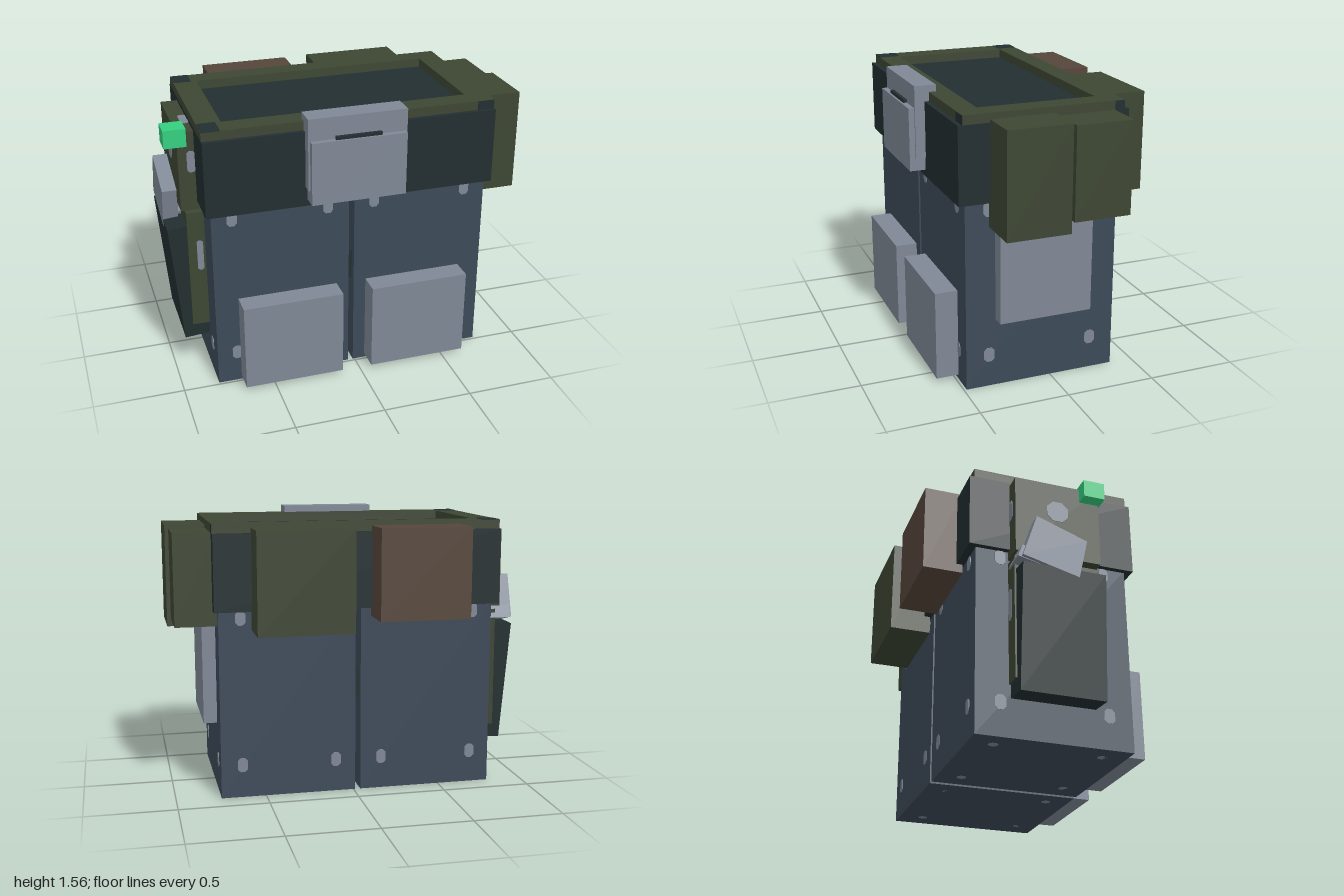
import * as THREE from 'three';

const material = (name, color) => {
  const m = new THREE.MeshStandardMaterial({ color });
  m.name = name;
  return m;
};

export function createModel() {
  const model = new THREE.Group();
  model.name = 'beltedLegs';

  const slate = material('slateBlue', 0x3d4a59);
  const grey = material('armourGrey', 0x7f8896);
  const olive = material('olive', 0x3d4633);
  const dark = material('darkTeal', 0x222e30);
  const brown = material('leatherBrown', 0x56463b);
  const green = material('signalGreen', 0x34cf7e);

  const add = (name, geometry, mat) => {
    const mesh = new THREE.Mesh(geometry, mat);
    mesh.name = name;
    model.add(mesh);
    return mesh;
  };
  // Box given by its limits on each axis
  const box = (name, mat, x0, x1, y0, y1, z0, z1) => {
    const mesh = add(name, new THREE.BoxGeometry(x1 - x0, y1 - y0, z1 - z0), mat);
    mesh.position.set((x0 + x1) / 2, (y0 + y1) / 2, (z0 + z1) / 2);
    return mesh;
  };
  // Closed outline pushed along z
  const prism = (name, mat, points, depth) => {
    const shape = new THREE.Shape(points.map(([x, y]) => new THREE.Vector2(x, y)));
    return add(name, new THREE.ExtrudeGeometry(shape, { depth, bevelEnabled: false }), mat);
  };
  // Flat eight-sided stud lying on a face; dir is the face's outward axis
  const stud = (dir, x, y, z, w = 0.055, h = 0.08) => {
    const c = Math.min(w, h) * 0.28, a = w / 2, b = h / 2;
    const mesh = prism('stud', grey, [[-a + c, -b], [a - c, -b], [a, -b + c], [a, b - c],
      [a - c, b], [-a + c, b], [-a, b - c], [-a, -b + c]], 0.003);
    if (dir === '+x') mesh.rotation.y = Math.PI / 2;
    if (dir === '-x') mesh.rotation.y = -Math.PI / 2;
    if (dir === '-z') mesh.rotation.y = Math.PI;
    if (dir === '+y') mesh.rotation.x = -Math.PI / 2;
    if (dir === '-y') mesh.rotation.x = Math.PI / 2;
    mesh.position.set(x, y, z);
  };

  // Legs with studs on every face, and a knee plate on each
  const zBack = -0.37, zFront = 0.485;
  for (const [x0, x1, name] of [[-0.8, -0.04, 'rightLeg'], [-0.01, 0.75, 'leftLeg']]) {
    box(name, slate, x0, x1, 0, 1.06, zBack, zFront);
    for (const x of [x0 + 0.112, x1 - 0.12]) {
      for (const y of [0.185, 1.01]) {
        stud('+z', x, y, zFront);
        stud('-z', x, y, zBack);
      }
      for (const z of [-0.235, 0.355]) stud('-y', x, 0.003, z, 0.05, 0.05);
    }
  }
  for (const y of [0.185, 1.01]) for (const z of [-0.235, 0.355]) {
    stud('+x', 0.75, y, z, 0.06);
    stud('-x', -0.8, y, z, 0.06);
  }
  for (const x of [-0.67, 0.06]) box('kneePlate', grey, x, x + 0.56, 0.025, 0.525, 0.48, 0.61);
  box('legJoint', dark, -0.045, -0.005, 0.53, 0.7, -0.34, 0.45);
  box('thighPlate', grey, 0.74, 0.825, 0.39, 0.945, -0.2, 0.32);

  // Belt, with the raised rim around its sunken top
  box('belt', dark, -0.83, 0.775, 1.05, 1.47, -0.415, 0.525);
  const rimShape = new THREE.Shape([[-0.83, -0.5], [0.775, -0.5], [0.775, 0.39], [-0.83, 0.39]]
    .map(([x, y]) => new THREE.Vector2(x, y)));
  rimShape.holes.push(new THREE.Path([[-0.7, -0.38], [-0.7, 0.275], [0.65, 0.275], [0.65, -0.38]]
    .map(([x, y]) => new THREE.Vector2(x, y))));
  const rim = add('rim', new THREE.ExtrudeGeometry(rimShape, { depth: 0.05, bevelEnabled: false }), olive);
  rim.rotation.x = -Math.PI / 2;
  rim.position.y = 1.47;
  // Dark patches at the rim corners
  box('rimCorner', dark, -0.828, -0.73, 1.518, 1.522, -0.39, -0.275);
  box('rimCorner', dark, -0.828, -0.73, 1.518, 1.522, 0.38, 0.5);
  box('rimCornerSide', dark, 0.773, 0.777, 1.47, 1.519, -0.388, -0.335);
  box('rimCornerFront', dark, 0.68, 0.774, 1.47, 1.519, 0.498, 0.502);

  // Buckle
  box('buckleBack', grey, -0.295, 0.245, 1.16, 1.557, 0.46, 0.58);
  box('buckleFront', grey, -0.285, 0.235, 1.088, 1.436, 0.5, 0.612);
  box('buckleSlot', dark, -0.15, 0.1, 1.434, 1.453, 0.57, 0.6);

  // Pouches on the left side and back
  box('sidePouch', olive, 0.75, 1.0, 0.915, 1.487, 0.005, 0.355);
  box('sidePouch', olive, 0.75, 0.98, 0.965, 1.47, -0.335, -0.02);
  box('pouchMount', olive, 0.75, 0.87, 1.0, 1.45, -0.19, 0.29);
  stud('+x', 0.87, 1.28, 0, 0.06);
  box('backPouch', olive, 0.045, 0.57, 0.945, 1.5, -0.615, -0.38);
  box('leatherPouch', brown, -0.6, -0.095, 1.0, 1.5, -0.6, -0.38);

  // Holster mounts with studs on the right side
  box('upperMount', olive, -0.92, -0.8, 1.0, 1.45, -0.19, 0.29);
  box('lowerMount', olive, -0.895, -0.79, 0.285, 0.98, -0.19, 0.29);
  for (const [dir, z] of [['+z', 0.29], ['-z', -0.19]]) {
    stud(dir, -0.85, 1.28, z, 0.045, 0.12);
    stud(dir, -0.83, 0.72, z, 0.035, 0.18);
  }
  stud('-x', -0.92, 1.28, 0.05, 0.12, 0.12);
  stud('+y', -0.85, 1.45, 0.11, 0.045, 0.12);

  // Tilted holster
  prism('holster', dark, [[-0.94, 0.2], [-0.79, 0.212], [-0.86, 0.905], [-1.0, 0.89]], 0.46)
    .position.z = -0.18;

  // Slanted grip standing out of the holster; outline runs along z, thickness along x
  const grip = prism('grip', grey, [[-0.18, 0.93], [0.13, 0.85], [0.18, 1.075], [-0.1, 1.175]], 0.085);
  grip.rotation.y = -Math.PI / 2;
  grip.position.x = -0.915;
  const base = prism('gripBase', grey, [[-0.2, 0.93], [0.1, 0.86], [0.12, 0.92], [-0.175, 1.0]], 0.15);
  base.rotation.y = -Math.PI / 2;
  base.position.x = -0.83;

  // Signal light
  box('signalLight', green, -0.99, -0.87, 1.37, 1.47, 0.18, 0.3);

  return model;
}
